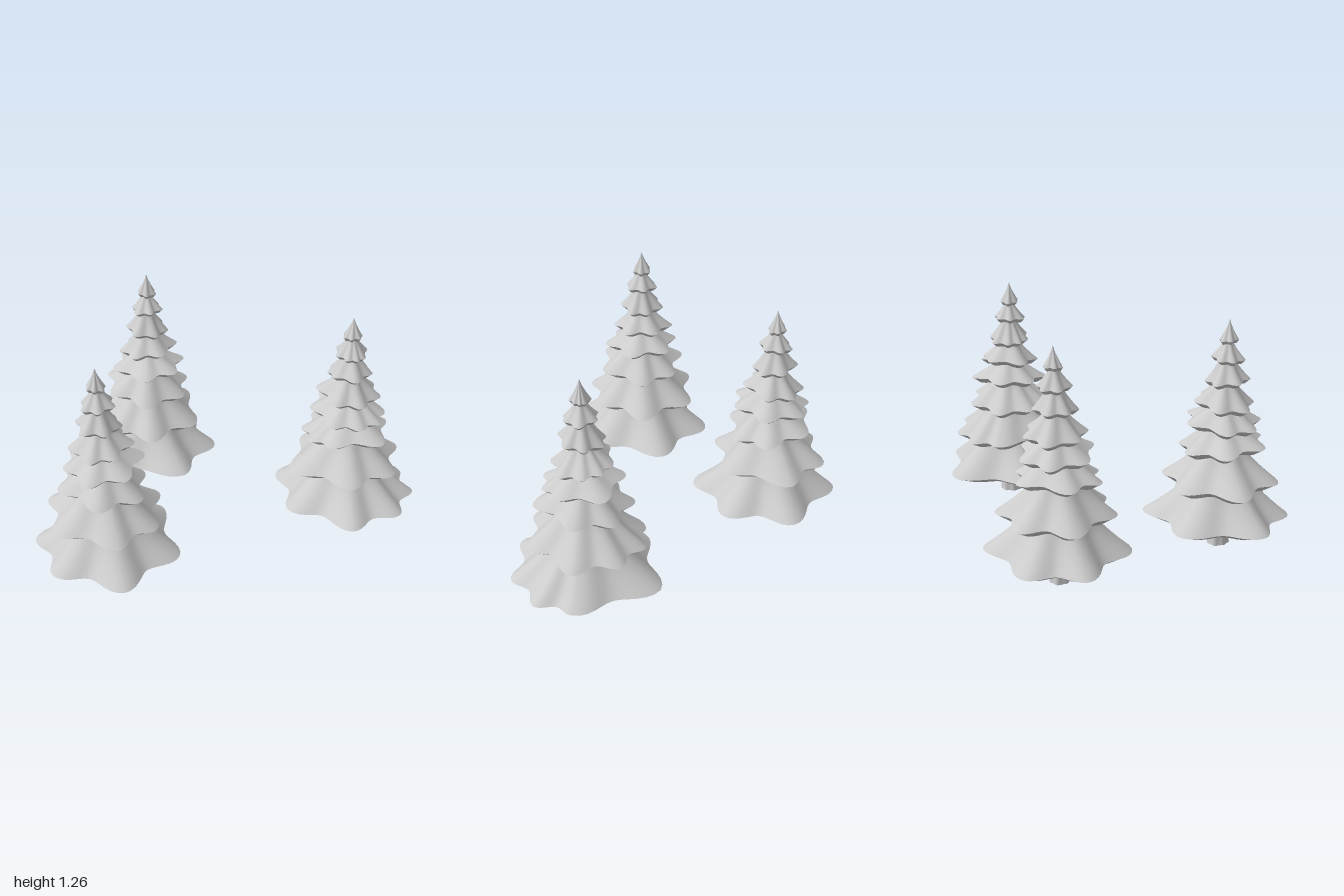
import * as THREE from 'three';

// Position, crown lean, tilt direction, and the lobes of the lowest rim as [angle in degrees, radius]
const TREES = [
  { name: 'frontTree', at: [0, 0.62], lean: [-0.01, 0.02], tilt: 1.9,
    lobes: [[-96, 0.41], [-31, 0.39], [28, 0.4], [88, 0.37], [137, 0.385], [206, 0.385]] },
  { name: 'leftTree', at: [-0.55, -0.147], lean: [-0.01, -0.015], tilt: 3.1,
    lobes: [[-97, 0.39], [-40, 0.385], [12, 0.4], [87, 0.37], [147, 0.385], [197, 0.37]] },
  { name: 'backTree', at: [0.51, -0.645], lean: [0, 0.02], tilt: 0.2,
    lobes: [[-70, 0.37], [-40, 0.39], [-5, 0.39], [40, 0.4], [98, 0.38], [150, 0.38], [218, 0.41]] },
];

// Branch tiers: rim height, rim radius, top radius, rim tilt
const TIERS = [
  [0.18, 0.36, 0.17, 0],
  [0.385, 0.29, 0.115, 0.004],
  [0.575, 0.222, 0.085, 0.02],
  [0.708, 0.192, 0.068, -0.013],
  [0.815, 0.152, 0.05, -0.015],
  [0.938, 0.11, 0.038, 0.008],
  [1.058, 0.083, 0.022, -0.006],
  [1.155, 0.048, 0.0015, 0.004],
];
const HEIGHT = 1.26;
const UP = new THREE.Vector3(0, 1, 0);
const material = new THREE.MeshStandardMaterial({ color: 0xcccccc });

// Smooth skin through closed rings listed from top to bottom
function loft(name, rings) {
  const n = rings[0].length, index = [];
  for (let i = 0; i < rings.length - 1; i++) {
    for (let j = 0; j < n; j++) {
      const a = i * n + j, b = i * n + (j + 1) % n;
      const c = a + n, d = b + n;
      index.push(c, a, d, a, b, d);
    }
  }
  const geometry = new THREE.BufferGeometry().setFromPoints(rings.flat());
  geometry.setIndex(index);
  geometry.computeVertexNormals();
  const mesh = new THREE.Mesh(geometry, material);
  mesh.name = name;
  return mesh;
}

const polar = (angle, r, y) => new THREE.Vector3(Math.cos(angle) * r, y, Math.sin(angle) * r);

// Flat outline running from lobe to lobe, with a deeper notch in a wider gap
function lobedOutline(lobes) {
  const steps = 12;
  return lobes.flatMap(([angle, r], i) => {
    const [nextAngle, nextR] = lobes[(i + 1) % lobes.length];
    const gap = (nextAngle - angle + 360) % 360;
    const depth = 0.24 * Math.min(1, gap / 60);
    return Array.from({ length: steps }, (_, j) => {
      const u = j / steps;
      const notch = 1 - depth * Math.sin(Math.PI * u) ** 2;
      return polar(THREE.MathUtils.degToRad(angle + gap * u), THREE.MathUtils.lerp(r, nextR, u) * notch, 0);
    });
  });
}

function buildTier(tree, base, k) {
  const [y, radius, topRadius, tilt] = TIERS[k];
  const top = k < TIERS.length - 1 ? TIERS[k + 1][0] - 0.005 : HEIGHT;
  const drop = Math.min(0.04, 0.012 + 0.1 * radius);
  const lean = new THREE.Vector3(tree.lean[0], 0, tree.lean[1]).multiplyScalar(k / (TIERS.length - 1));

  // Each tier repeats the outline smaller and turned; lobes of the upper ones droop
  const rim = base.map((p) => {
    const q = p.clone().multiplyScalar(radius / TIERS[0][1]).applyAxisAngle(UP, k * 1.9);
    const droop = k ? 0.15 * (q.length() - radius) : 0;
    q.y = y + tilt * Math.cos(Math.atan2(q.z, q.x) - tree.tilt) - droop;
    return q;
  });

  // t = 0 is the narrow top, t = 1 the rim; folds fade towards the top
  const upper = [0, 0.2, 0.4, 0.6, 0.8, 1].map((t) => rim.map((p) => {
    const r = Math.hypot(p.x, p.z);
    const core = topRadius * (0.7 + 0.3 * r / radius) / r;
    const f = THREE.MathUtils.lerp(core, 1, t ** 1.3);
    return new THREE.Vector3(p.x * f, THREE.MathUtils.lerp(top, p.y, t), p.z * f).add(lean);
  }));

  // Underside bulges down from the rim, then runs in below the tier
  const inner = k ? TIERS[k - 1][2] * 0.6 : 0.03;
  const under = [
    rim.map((p) => p.clone().add(lean)),
    rim.map((p) => new THREE.Vector3(p.x * 0.78, p.y - drop, p.z * 0.78).add(lean)),
    rim.map((p) => polar(Math.atan2(p.z, p.x), inner, p.y - drop * 0.5).add(lean)),
  ];
  const group = new THREE.Group();
  group.name = `branchTier${k + 1}`;
  group.add(loft('branchTop', upper), loft('branchUnderside', under));
  return group;
}

// Slightly fluted trunk, waisted between the ground and the branches
function buildTrunk(turn) {
  const ring = (y, r) => Array.from({ length: 28 }, (_, j) => {
    const a = j / 28 * Math.PI * 2;
    return polar(a, r * (1 + 0.07 * Math.cos(7 * a + turn) + 0.04 * Math.cos(3 * a + turn)), y);
  });
  const trunk = new THREE.Group();
  trunk.name = 'trunk';
  trunk.add(
    loft('bark', [ring(0.2, 0.054), ring(0.07, 0.05), ring(0, 0.058)]),
    loft('trunkBase', [ring(0, 0.058), ring(0, 0.0005)]),
  );
  return trunk;
}

export function createModel() {
  const model = new THREE.Group();
  model.name = 'firTrees';
  for (const tree of TREES) {
    const group = new THREE.Group();
    group.name = tree.name;
    group.position.set(tree.at[0], 0, tree.at[1]);
    const base = lobedOutline(tree.lobes);
    group.add(buildTrunk(tree.tilt));
    TIERS.forEach((_, k) => group.add(buildTier(tree, base, k)));
    model.add(group);
  }
  return model;
}
